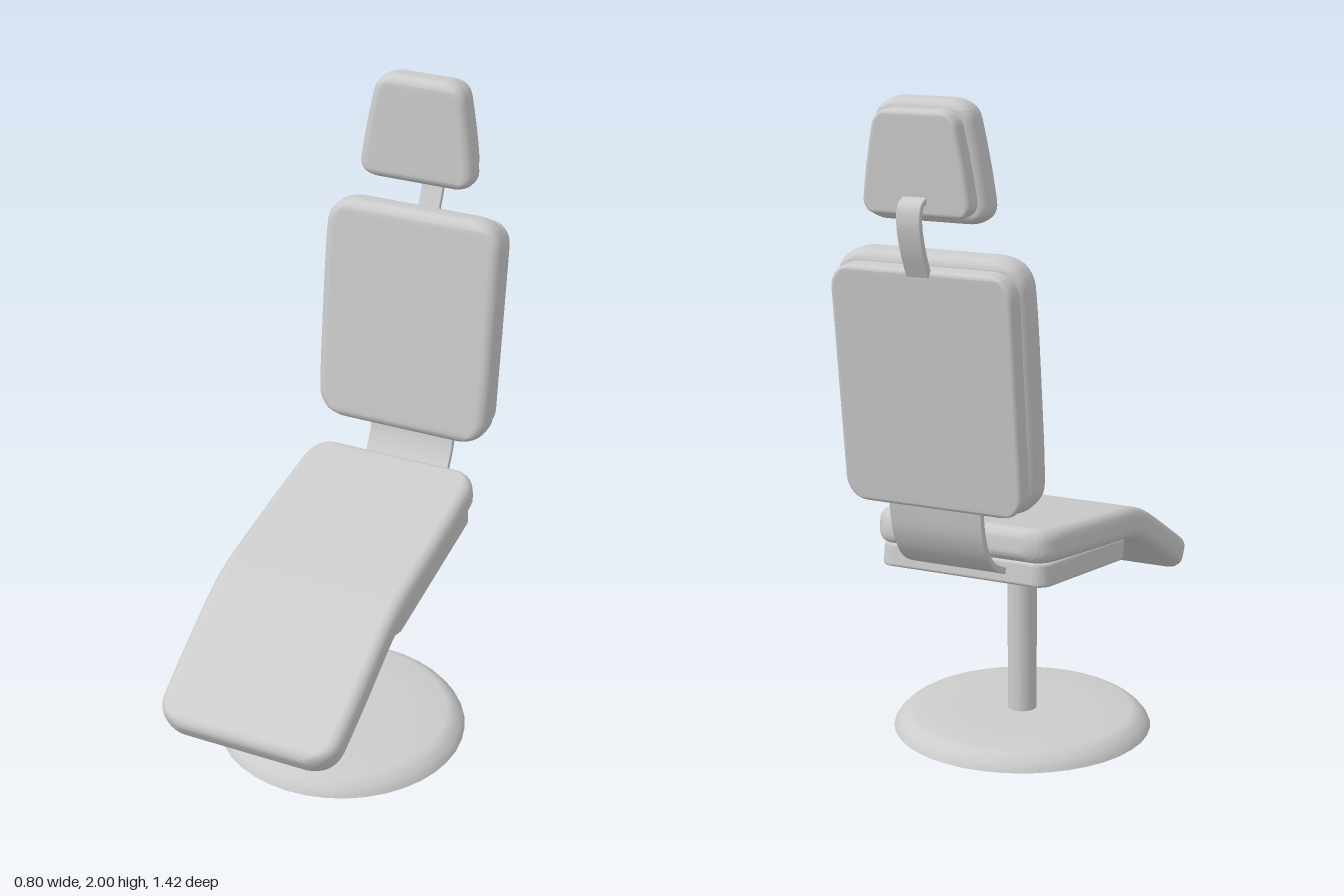
import * as THREE from 'three';
import { toCreasedNormals } from 'three/addons/utils/BufferGeometryUtils.js';

const material = new THREE.MeshStandardMaterial({ color: 0xcccccc, side: THREE.DoubleSide });
const at = (z, y) => new THREE.Vector3(0, y, z);
const line = (a, b) => new THREE.LineCurve3(at(...a), at(...b));

// Quarter-round: how much a radius r has opened up at distance d from the end
const round = (r, d) => (d >= r ? r : Math.sqrt(Math.max(0, r * r - (r - d) ** 2)));

// Lofts a rounded slab along a curve in the side plane.
// halfWidth(u): outline, thick: thickness, corner: plan corner radius, edge: edge radius
function slab(name, curve, halfWidth, thick, corner, edge, middle = 16) {
  const length = curve.getLength();
  const ends = [];
  for (let i = 0; i <= 8; i++) {
    const k = 1 - Math.cos((i / 8) * Math.PI / 2);
    ends.push(corner * k);
    if (i > 0 && i < 8 && edge < corner) ends.push(edge * k);
  }
  const stations = [...ends, ...ends.map((d) => length - d)];
  for (let i = 1; i < middle; i++) stations.push(corner + (length - 2 * corner) * (i / middle));
  stations.sort((a, b) => a - b);

  const positions = [];
  const index = [];
  const steps = 6;
  const ring = 4 * (steps + 1);
  const X = new THREE.Vector3(1, 0, 0);
  for (const s of stations) {
    const u = THREE.MathUtils.clamp(s / length, 0, 1);
    const d = Math.max(0, Math.min(s, length - s));
    const p = curve.getPointAt(u);
    const n = curve.getTangentAt(u).cross(X);
    const w = halfWidth(u) - corner + round(corner, d);
    const t = thick / 2 - edge + round(edge, d);
    const r = Math.min(edge, t * 0.95);
    for (let q = 0; q < 4; q++) {
      const sx = q === 0 || q === 3 ? 1 : -1;
      const sn = q < 2 ? 1 : -1;
      for (let k = 0; k <= steps; k++) {
        const a = (q + k / steps) * Math.PI / 2;
        const b = sn * (t - r) + r * Math.sin(a);
        positions.push(sx * (w - r) + r * Math.cos(a), p.y + n.y * b, p.z + n.z * b);
      }
    }
  }
  const rows = stations.length;
  for (let i = 0; i < rows - 1; i++) {
    for (let j = 0; j < ring; j++) {
      const a = i * ring + j;
      const b = i * ring + (j + 1) % ring;
      index.push(a, b, b + ring, a, b + ring, a + ring);
    }
  }
  // End caps
  const first = curve.getPointAt(0);
  const last = curve.getPointAt(1);
  const c = rows * ring;
  positions.push(0, first.y, first.z, 0, last.y, last.z);
  for (let j = 0; j < ring; j++) {
    const k = (j + 1) % ring;
    index.push(c, k, j, c + 1, c - ring + j, c - ring + k);
  }
  const geometry = new THREE.BufferGeometry();
  geometry.setAttribute('position', new THREE.Float32BufferAttribute(positions, 3));
  geometry.setIndex(index);
  geometry.computeVertexNormals();
  const mesh = new THREE.Mesh(geometry, material);
  mesh.name = name;
  return mesh;
}

// Part turned around the vertical axis from [radius, height] points
function turned(name, profile) {
  const geometry = new THREE.LatheGeometry(profile.map((p) => new THREE.Vector2(...p)), 40);
  const mesh = new THREE.Mesh(toCreasedNormals(geometry, 0.6), material);
  mesh.name = name;
  return mesh;
}

const cushionWidth = (u) => 0.295 - 0.01 * (2 * u - 1) ** 4;
const flat = (w) => () => w;
// Headrest outline: narrower at the top, with slightly bowed sides
const headWidth = (low, high) => (u) => THREE.MathUtils.lerp(low, high, u ** 1.4);

export function createModel() {
  const model = new THREE.Group();
  model.name = 'recliningChair';

  // Round foot and hollow column
  model.add(turned('base', [
    [0.04, 0], [0.4, 0], [0.396, 0.01], [0.385, 0.024], [0.37, 0.038],
    [0.355, 0.047], [0.34, 0.051], [0.2, 0.052], [0.04, 0.052],
  ]));
  model.add(turned('column', [[0.04, 0], [0.045, 0], [0.045, 0.6], [0.04, 0.6], [0.04, 0]]));

  // Seat with a bent leg rest
  const seat = new THREE.CurvePath();
  seat.add(line([-0.437, 0.729], [0.15, 0.639]));
  seat.add(new THREE.QuadraticBezierCurve3(at(0.15, 0.639), at(0.25, 0.624), at(0.34, 0.574)));
  seat.add(line([0.34, 0.574], [0.695, 0.377]));
  model.add(slab('seatCushion', seat, cushionWidth, 0.1, 0.085, 0.036, 48));
  model.add(slab('seatPlate', line([-0.42, 0.64], [0.2, 0.55]), flat(0.27), 0.07, 0.05, 0.01));

  // Backrest
  model.add(slab('backCushion', line([-0.486, 0.845], [-0.567, 1.58]), cushionWidth, 0.104, 0.085, 0.036));
  model.add(slab('backPlate', line([-0.553, 0.853], [-0.631, 1.545]), flat(0.277), 0.066, 0.07, 0.015));

  // Headrest
  model.add(slab('headCushion', line([-0.573, 1.667], [-0.59, 2.0]), headWidth(0.19, 0.137), 0.096, 0.055, 0.032));
  model.add(slab('headPlate', line([-0.637, 1.688], [-0.652, 1.975]), headWidth(0.165, 0.118), 0.066, 0.045, 0.015));

  // Curved straps joining the three pads
  const backStrap = new THREE.CatmullRomCurve3([
    at(-0.572, 0.9), at(-0.566, 0.84), at(-0.548, 0.76), at(-0.5, 0.685), at(-0.41, 0.64), at(-0.36, 0.63),
  ]);
  model.add(slab('backStrap', backStrap, flat(0.145), 0.02, 0.004, 0.004, 32));
  const headStrap = new THREE.CatmullRomCurve3([
    at(-0.65, 1.52), at(-0.662, 1.545), at(-0.69, 1.61), at(-0.705, 1.68), at(-0.697, 1.72), at(-0.665, 1.735), at(-0.645, 1.735),
  ]);
  model.add(slab('headStrap', headStrap, flat(0.036), 0.018, 0.004, 0.004, 32));

  return model;
}
